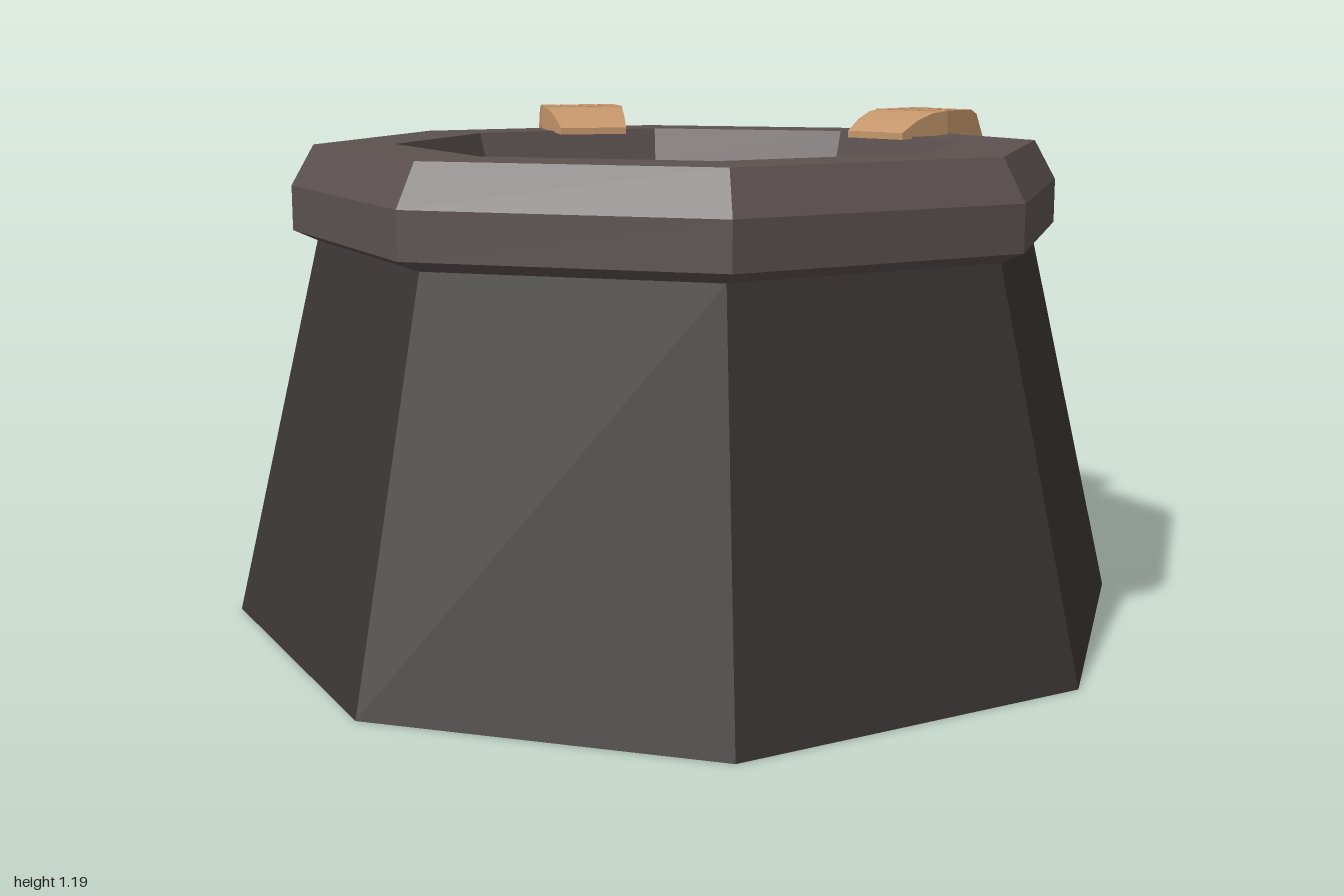
import * as THREE from 'three';

const mat = (color, side = THREE.FrontSide) =>
  new THREE.MeshStandardMaterial({ color, flatShading: true, side });
const wallMat = mat(0x3b3635, THREE.DoubleSide);
const rimMat = mat(0x5c5250);
const skinMat = mat(0xc4956b);

function addMesh(parent, name, geometry, material) {
  const mesh = new THREE.Mesh(geometry, material);
  mesh.name = name;
  parent.add(mesh);
  return mesh;
}

// Eight-sided ring surface; each profile entry is [apothem, half side length, y]
function octagonLoft(profile) {
  const corners = (a, c) => [[c, a], [a, c], [a, -c], [c, -a], [-c, -a], [-a, -c], [-a, c], [-c, a]];
  const rings = profile.map(([a, c, y]) => corners(a, c).map(([x, z]) => [x, y, z]));
  const pos = [];
  for (let r = 0; r < rings.length - 1; r++) {
    for (let i = 0; i < 8; i++) {
      const j = (i + 1) % 8;
      const p = rings[r][i], q = rings[r][j], s = rings[r + 1][j], t = rings[r + 1][i];
      pos.push(...p, ...q, ...s, ...p, ...s, ...t);
    }
  }
  const g = new THREE.BufferGeometry();
  g.setAttribute('position', new THREE.Float32BufferAttribute(pos, 3));
  g.computeVertexNormals();
  return g;
}

// Bent finger: side outline hooked over the rim, extruded across its width
function fingerGeometry(shift, tipY, width) {
  const outline = [
    [0.13, 1.13], [0.27, 1.13], [0.305, 1.07], [0.315, tipY],
    [0.357, tipY + 0.005], [0.348, 1.09], [0.305, 1.175], [0.28, 1.187], [0.13, 1.187],
  ];
  const shape = new THREE.Shape(
    outline.map(([u, y]) => new THREE.Vector2(u > 0.2 ? u + shift : u, y)));
  const g = new THREE.ExtrudeGeometry(shape, { depth: width, bevelEnabled: false });
  g.translate(0, 0, -width / 2);
  g.rotateY(Math.PI / 2);
  return g;
}

// Palm: a box thinned and narrowed towards the wrist
function palmGeometry(side) {
  const g = new THREE.BoxGeometry(1, 1, 1, 1, 1, 3);
  const p = g.attributes.position;
  const top = [1.135, 1.165, 1.182, 1.187];
  for (let i = 0; i < p.count; i++) {
    const t = 0.5 - p.getZ(i);
    const x = p.getX(i) * 2 * (0.087 + 0.021 * t) + side * 0.012 * t;
    const y = p.getY(i) > 0 ? top[Math.round(t * 3)] : 1.118 + 0.01 * t;
    p.setXYZ(i, x, y, -0.145 * t);
  }
  g.computeVertexNormals();
  return g;
}

function createHand(side) {
  const hand = new THREE.Group();
  hand.name = side > 0 ? 'leftHand' : 'rightHand';
  addMesh(hand, 'palm', palmGeometry(side), skinMat);
  const tips = [0.985, 0.97, 0.975, 0.99];
  tips.forEach((tipY, i) => {
    const s = (i - 1.5) * 0.054;
    const finger = addMesh(hand, 'finger' + (i + 1),
      fingerGeometry(-s * 0.19, tipY, 0.044), skinMat);
    finger.position.x = side * (s + 0.005);
  });
  hand.position.set(side > 0 ? 0.391 : -0.363, 0, -0.411);
  hand.rotation.y = -side * 0.48;
  return hand;
}

export function createModel() {
  const model = new THREE.Group();
  model.name = 'wellWithHands';

  // Tapered open wall
  addMesh(model, 'wall', octagonLoft([[1, 0.4, 0], [0.8, 0.325, 0.9]]), wallMat);

  // Bevelled rim, closed all round
  addMesh(model, 'rim', octagonLoft([
    [0.8, 0.325, 0.9], [0.85, 0.35, 0.925], [0.85, 0.35, 1.03], [0.8, 0.33, 1.125],
    [0.625, 0.26, 1.125], [0.6, 0.25, 1.03], [0.6, 0.25, 0.91], [0.8, 0.325, 0.9],
  ]), rimMat);

  // Hands gripping the back corners of the rim
  for (const side of [-1, 1]) model.add(createHand(side));
  return model;
}
